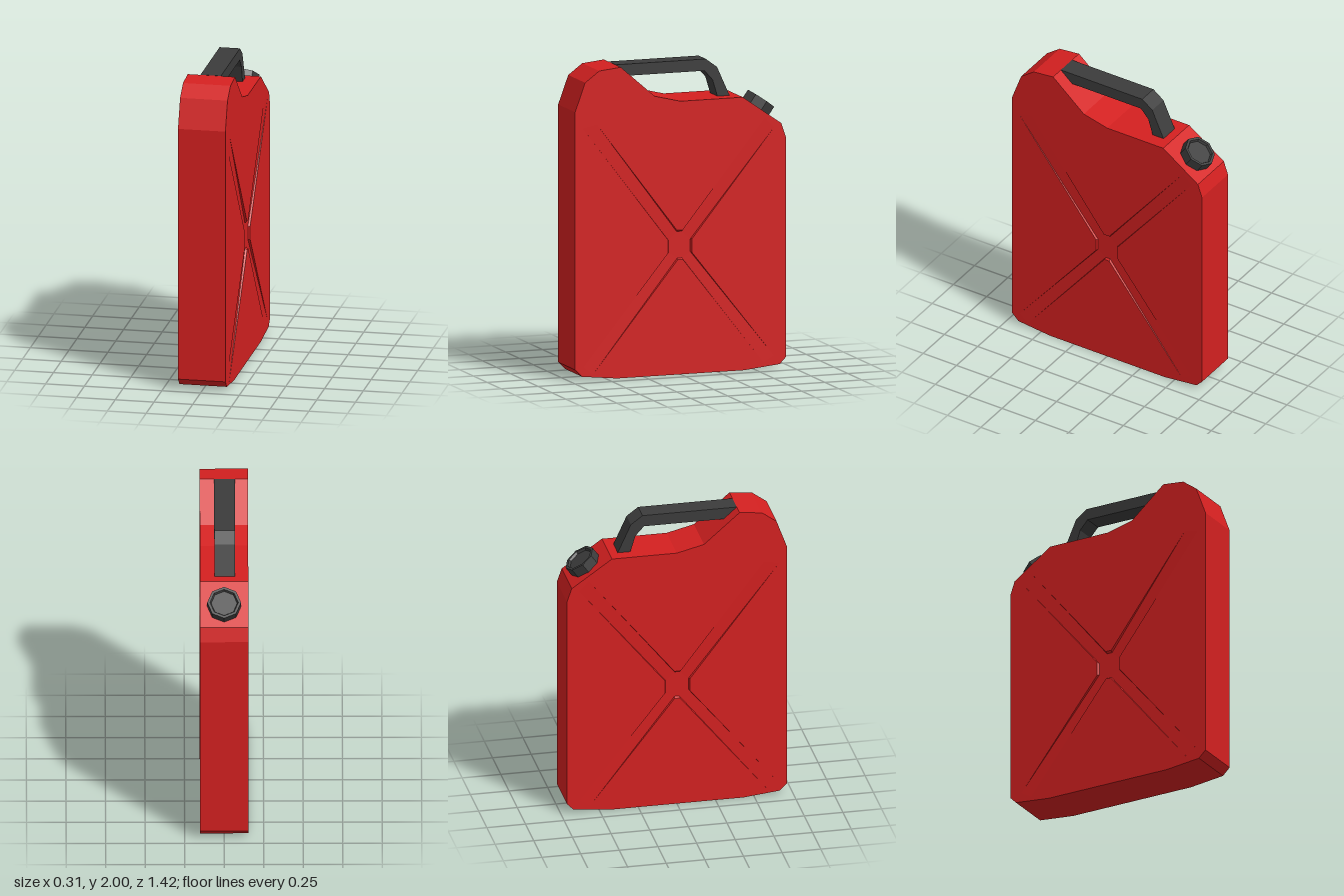
import * as THREE from 'three';

const HALF = 0.153; // half thickness of the can
const DEPTH = 0.014; // depth of the pressed cross

// Silhouette of the can as (z, y)
const PROFILE = [
  [0.713, 0.075], [0.713, 1.73], [0.645, 1.915], [0.55, 1.985], [0.405, 2.0], [0.175, 1.8],
  [0, 1.757], [-0.42, 1.757], [-0.68, 1.575], [-0.711, 1.485], [-0.711, 0.07],
  [-0.67, 0.028], [-0.43, 0.003], [0.43, 0.003], [0.665, 0.028],
];

// Pressed cross: each arm is [root, tip, tip, root] as (z, y), going round the centre
const ARMS = [
  [[0.085, 0.87], [0.66, 1.62], [0.565, 1.64], [0.025, 0.93]],
  [[-0.015, 0.93], [-0.57, 1.615], [-0.63, 1.55], [-0.078, 0.87]],
  [[-0.078, 0.78], [-0.63, 0.085], [-0.56, 0.045], [-0.015, 0.74]],
  [[0.02, 0.74], [0.595, 0.035], [0.655, 0.09], [0.085, 0.785]],
];
const CENTRE = [0.004, 0.828];

function buildBodyGeometry() {
  const pos = [];
  // Adds a triangle turned towards the given outward direction
  const face = (a, b, c, out) => {
    const n = b.clone().sub(a).cross(c.clone().sub(a));
    const order = n.dot(out) < 0 ? [a, c, b] : [a, b, c];
    order.forEach((p) => pos.push(p.x, p.y, p.z));
  };

  // Band round the edge
  PROFILE.forEach((p, i) => {
    const q = PROFILE[(i + 1) % PROFILE.length];
    const at = (x, [z, y]) => new THREE.Vector3(x, y, z);
    const out = new THREE.Vector3(0, -(q[0] - p[0]), q[1] - p[1]);
    face(at(-HALF, p), at(HALF, p), at(HALF, q), out);
    face(at(-HALF, p), at(HALF, q), at(-HALF, q), out);
  });

  for (const side of [-1, 1]) {
    const out = new THREE.Vector3(side, 0, 0);
    const top = ([z, y]) => new THREE.Vector3(side * HALF, y, z);
    // Root corners sink and move in a little; tips stay flush so the groove fades out
    const sunk = ([z, y]) => new THREE.Vector3(
      side * (HALF - DEPTH), y + (CENTRE[1] - y) * 0.1, z + (CENTRE[0] - z) * 0.1);

    // Flat panel with the cross cut out
    const contour = PROFILE.map(([z, y]) => new THREE.Vector2(z, y)).reverse();
    const hole = ARMS.flat().map(([z, y]) => new THREE.Vector2(z, y));
    const all = [...contour, ...hole].map((v) => top([v.x, v.y]));
    THREE.ShapeUtils.triangulateShape(contour, [hole])
      .forEach(([a, b, c]) => face(all[a], all[b], all[c], out));

    // Groove floor and sloping walls
    const middle = new THREE.Vector3(side * (HALF - DEPTH), CENTRE[1], CENTRE[0]);
    ARMS.forEach((arm, i) => {
      const [r0, t0, t1, r1] = arm;
      const next = ARMS[(i + 1) % 4][0];
      face(sunk(r0), top(t0), top(t1), out);
      face(sunk(r0), top(t1), sunk(r1), out);
      face(top(r0), top(t0), sunk(r0), out);
      face(top(r1), top(t1), sunk(r1), out);
      face(middle, sunk(r0), sunk(r1), out);
      face(middle, sunk(r1), sunk(next), out);
      face(top(r1), top(next), sunk(next), out);
      face(top(r1), sunk(next), sunk(r1), out);
    });
  }

  const geo = new THREE.BufferGeometry();
  geo.setAttribute('position', new THREE.Float32BufferAttribute(pos, 3));
  geo.computeVertexNormals();
  return geo;
}

function buildHandleGeometry() {
  // Bent bar as (z, y), ends set into the can
  const shape = new THREE.Shape([
    [0.405, 2.001], [-0.205, 2.001], [-0.28, 1.945], [-0.368, 1.75], [-0.285, 1.75],
    [-0.25, 1.865], [-0.195, 1.926], [0.32, 1.926],
  ].map(([z, y]) => new THREE.Vector2(z, y)));
  const geo = new THREE.ExtrudeGeometry(shape, { depth: 0.132, bevelEnabled: false });
  geo.rotateY(-Math.PI / 2); // shape x becomes z, depth runs along -x
  geo.translate(0.062, 0, 0);
  return geo;
}

function buildCapGeometry() {
  // Eight-sided screw cap with a dished top
  const points = [[0.107, -0.02], [0.107, 0.065], [0.09, 0.065], [0.082, 0.05], [0, 0.05]]
    .map(([r, y]) => new THREE.Vector2(r, y));
  const geo = new THREE.LatheGeometry(points, 8).toNonIndexed();
  geo.computeVertexNormals();
  return geo;
}

export function createModel() {
  const red = new THREE.MeshStandardMaterial({ color: 0xd42020 });
  red.name = 'red paint';
  const dark = new THREE.MeshStandardMaterial({ color: 0x3c3c3c });
  dark.name = 'dark grey plastic';

  const group = new THREE.Group();
  group.name = 'fuelCan';
  const add = (name, geometry, material) => {
    const mesh = new THREE.Mesh(geometry, material);
    mesh.name = name;
    group.add(mesh);
    return mesh;
  };

  add('body', buildBodyGeometry(), red);
  add('handle', buildHandleGeometry(), dark);
  const cap = add('cap', buildCapGeometry(), dark);
  cap.position.set(0, 1.659, -0.562);
  cap.rotation.x = -0.618; // square to the sloping shoulder

  return group;
}
